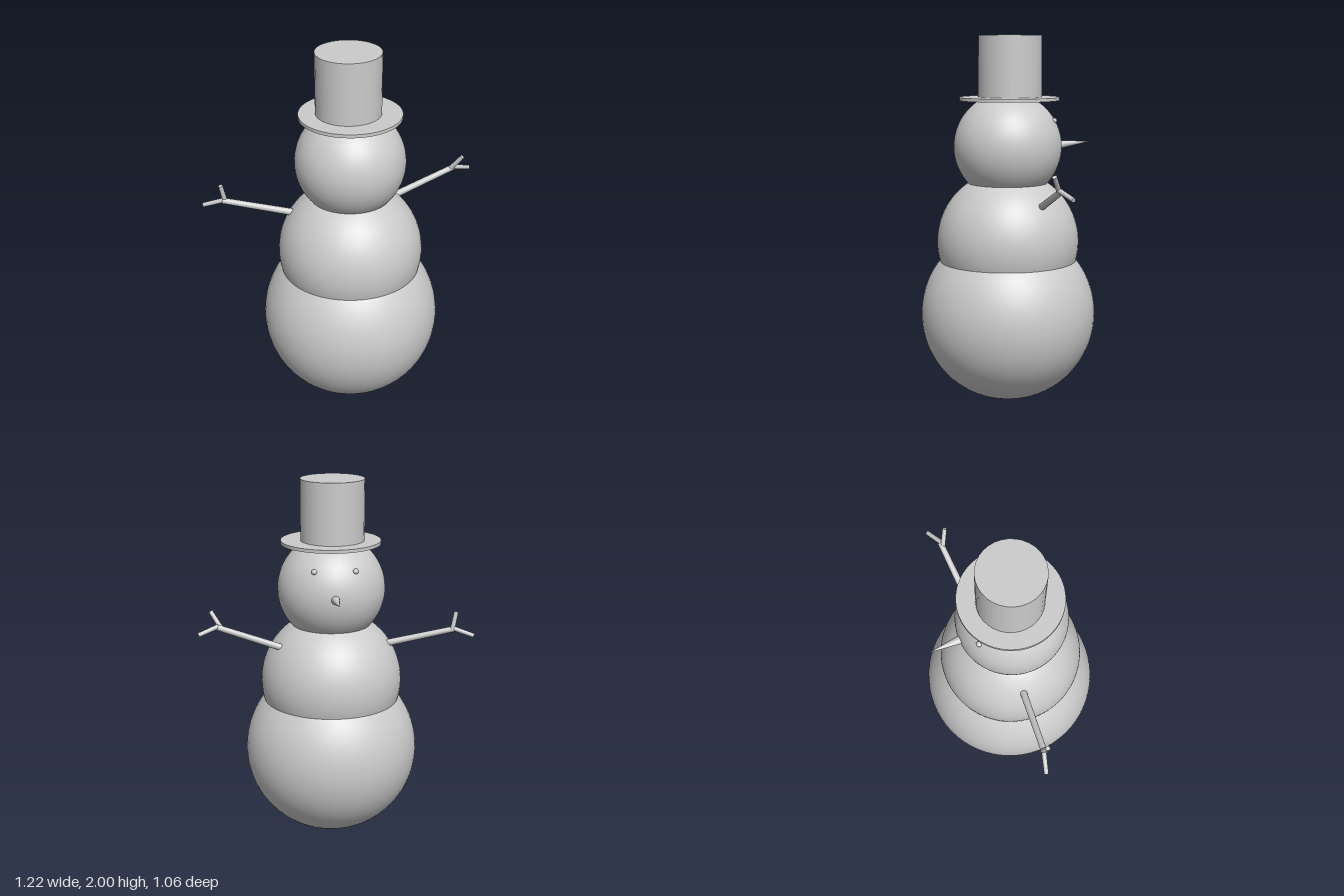
import * as THREE from 'three';

const grey = new THREE.MeshStandardMaterial({ color: 0xcccccc });
const UP = new THREE.Vector3(0, 1, 0);

function add(parent, name, geometry, x = 0, y = 0, z = 0) {
  const mesh = new THREE.Mesh(geometry, grey);
  mesh.name = name;
  mesh.position.set(x, y, z);
  parent.add(mesh);
  return mesh;
}

// Round stick (or cone) running from point a to point b
function stick(parent, name, a, b, radiusA, radiusB, sides = 16) {
  const start = new THREE.Vector3(...a);
  const dir = new THREE.Vector3(...b).sub(start);
  const mesh = add(parent, name, new THREE.CylinderGeometry(radiusB, radiusA, dir.length(), sides));
  mesh.position.copy(start).addScaledVector(dir, 0.5);
  mesh.quaternion.setFromUnitVectors(UP, dir.normalize());
  return mesh;
}

export function createModel() {
  const model = new THREE.Group();
  model.name = 'snowman';
  const cx = -0.078, cz = 0.052; // body axis

  // Stacked snowballs
  const balls = [
    ['lowerBody', 0.479, 0.482],
    ['upperBody', 0.388, 0.885],
    ['head', 0.293, 1.405],
  ];
  for (const [name, radius, y] of balls) {
    add(model, name, new THREE.SphereGeometry(radius, 64, 48), cx, y, cz);
  }

  // Top hat, the crown slightly off the brim's centre
  const hat = new THREE.Group();
  hat.name = 'hat';
  model.add(hat);
  add(hat, 'brim', new THREE.CylinderGeometry(0.27, 0.27, 0.018, 64), -0.07, 1.663, 0.047);
  add(hat, 'crown', new THREE.CylinderGeometry(0.172, 0.172, 0.34, 32), -0.073, 1.83, 0.037);

  // Face, turned towards the back left
  const face = new THREE.Group();
  face.name = 'face';
  model.add(face);
  const faceAngle = THREE.MathUtils.degToRad(54);
  stick(face, 'nose', [0.088, 1.409, -0.175], [0.195, 1.425, -0.328], 0.024, 0, 24);
  for (const [name, side] of [['leftEye', 1], ['rightEye', -1]]) {
    const a = faceAngle + side * THREE.MathUtils.degToRad(25);
    add(face, name, new THREE.SphereGeometry(0.015, 20, 14),
      cx + 0.256 * Math.cos(a), 1.548, cz - 0.256 * Math.sin(a));
  }

  // Twig arms: shoulder, hand, and two finger tips
  const arms = [
    ['leftArm', [0.19, 1.095, 0.1], [0.502, 1.232, 0.307],
      [[0.485, 1.232, 0.303], [0.505, 1.31, 0.362]],
      [[0.495, 1.236, 0.31], [0.605, 1.202, 0.337]]],
    ['rightArm', [-0.265, 1.098, -0.165], [-0.545, 1.192, -0.438],
      [[-0.53, 1.185, -0.432], [-0.556, 1.285, -0.433]],
      [[-0.54, 1.192, -0.438], [-0.603, 1.16, -0.525]]],
  ];
  for (const [name, shoulder, hand, ...fingers] of arms) {
    const arm = new THREE.Group();
    arm.name = name;
    model.add(arm);
    stick(arm, 'branch', shoulder, hand, 0.019, 0.016);
    for (const [base, tip] of fingers) stick(arm, 'finger', base, tip, 0.013, 0.012);
  }

  return model;
}
